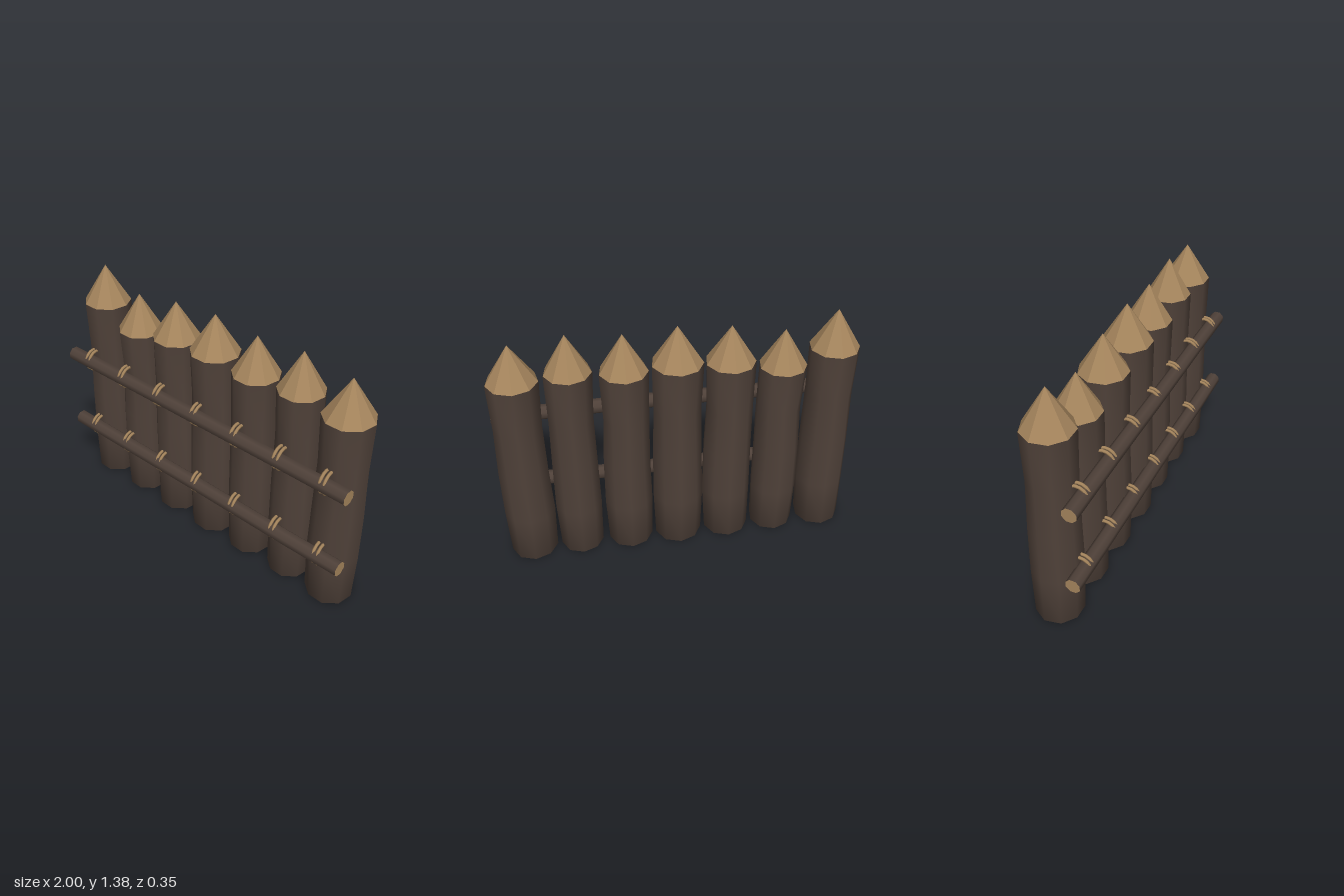
import * as THREE from 'three';
import { mergeVertices } from 'three/addons/utils/BufferGeometryUtils.js';

const SIDES = 9;
const POST_Z = -0.03;

const material = (name, color, extra = {}) =>
  Object.assign(new THREE.MeshStandardMaterial({ color, ...extra }), { name });

// Shoulder height, tip height, radius, then sideways shift of each ring from base to shoulder
const POSTS = [
  [1.16, 1.38, 0.136, [-0.004, 0.004, 0.002, 0.006, 0.004]],
  [1.075, 1.29, 0.13, [0, -0.002, -0.002, 0.006, -0.004]],
  [1.13, 1.34, 0.136, [-0.003, 0.004, 0.002, -0.002, 0]],
  [1.15, 1.365, 0.14, [0, 0, 0.004, 0.005, 0]],
  [1.13, 1.345, 0.132, [-0.002, 0, 0.002, -0.003, -0.002]],
  [1.155, 1.37, 0.127, [0, 0.002, 0.003, 0.005, 0]],
  [1.13, 1.34, 0.137, [-0.007, -0.007, 0, 0.001, -0.002]],
];
const BULGE = [0.97, 1.03, 1.0, 0.95, 1.0];

// Drop duplicate seam corners so that the normals run smoothly all the way round
function smooth(geometry) {
  geometry.deleteAttribute('uv');
  geometry.deleteAttribute('normal');
  const merged = mergeVertices(geometry, 1e-4);
  merged.computeVertexNormals();
  return merged;
}

// Rough log: turned profile whose rings wander a little sideways
function trunkGeometry(height, radius, shifts) {
  const points = [new THREE.Vector2(0, 0)];
  BULGE.forEach((b, i) => points.push(new THREE.Vector2(radius * b, (height * i) / 4)));
  const geometry = new THREE.LatheGeometry(points, SIDES, Math.PI);
  const p = geometry.attributes.position;
  for (let i = 0; i < p.count; i++) {
    const ring = Math.round((p.getY(i) / height) * 4);
    const wobble = 1 + 0.012 * Math.sin(3 * Math.atan2(p.getX(i), p.getZ(i)) + ring * 2);
    p.setX(i, p.getX(i) * wobble + shifts[ring]);
    p.setZ(i, p.getZ(i) * wobble);
  }
  return smooth(geometry);
}

export function createModel() {
  const group = new THREE.Group();
  group.name = 'palisade';
  const bark = material('darkBark', 0x4f4139, { side: THREE.DoubleSide });
  const cutWood = material('cutWood', 0xa4845c, { flatShading: true });
  const rope = material('rope', 0xa4845c);

  const add = (parent, name, geometry, mat, x, y, z) => {
    const mesh = new THREE.Mesh(geometry, mat);
    mesh.name = name;
    mesh.position.set(x, y, z);
    parent.add(mesh);
    return mesh;
  };

  // Sharpened posts
  const postX = (i) => -0.855 + 0.285 * i;
  POSTS.forEach(([shoulder, tip, radius, shifts], i) => {
    const post = new THREE.Group();
    post.name = 'post';
    post.position.set(postX(i), 0, POST_Z);
    group.add(post);
    add(post, 'trunk', trunkGeometry(shoulder, radius, shifts), bark, 0, 0, 0);
    const cone = new THREE.ConeGeometry(radius * 0.995, tip - shoulder, SIDES, 1, false, Math.PI);
    add(post, 'sharpenedTip', cone, cutWood, shifts[4], (shoulder + tip) / 2, 0);
  });

  // Horizontal rails, each with pale sawn ends
  const ringGeometry = new THREE.TorusGeometry(0.06, 0.009, 6, 16);
  for (const y of [0.352, 0.816]) {
    const railGeometry = new THREE.CylinderGeometry(0.042, 0.042, 2, 8, 6, false, Math.PI / 8);
    railGeometry.rotateZ(Math.PI / 2);
    const p = railGeometry.attributes.position;
    for (let i = 0; i < p.count; i++) {
      p.setY(i, p.getY(i) + 0.002 * Math.sin(p.getX(i) * 4 + y * 9));
      p.setZ(i, p.getZ(i) + 0.002 * Math.cos(p.getX(i) * 5 + y * 7));
    }
    add(group, 'rail', railGeometry, [bark, cutWood, cutWood], 0, y, 0.135);

    // Pairs of rope loops binding the rail to each post
    for (let i = 0; i < POSTS.length; i++) {
      for (const side of [-1, 1]) {
        const loop = add(group, 'ropeLoop', ringGeometry, rope, postX(i) + side * 0.013, y, 0.102);
        loop.rotation.y = Math.PI / 2 + 0.08;
      }
    }
  }
  return group;
}
